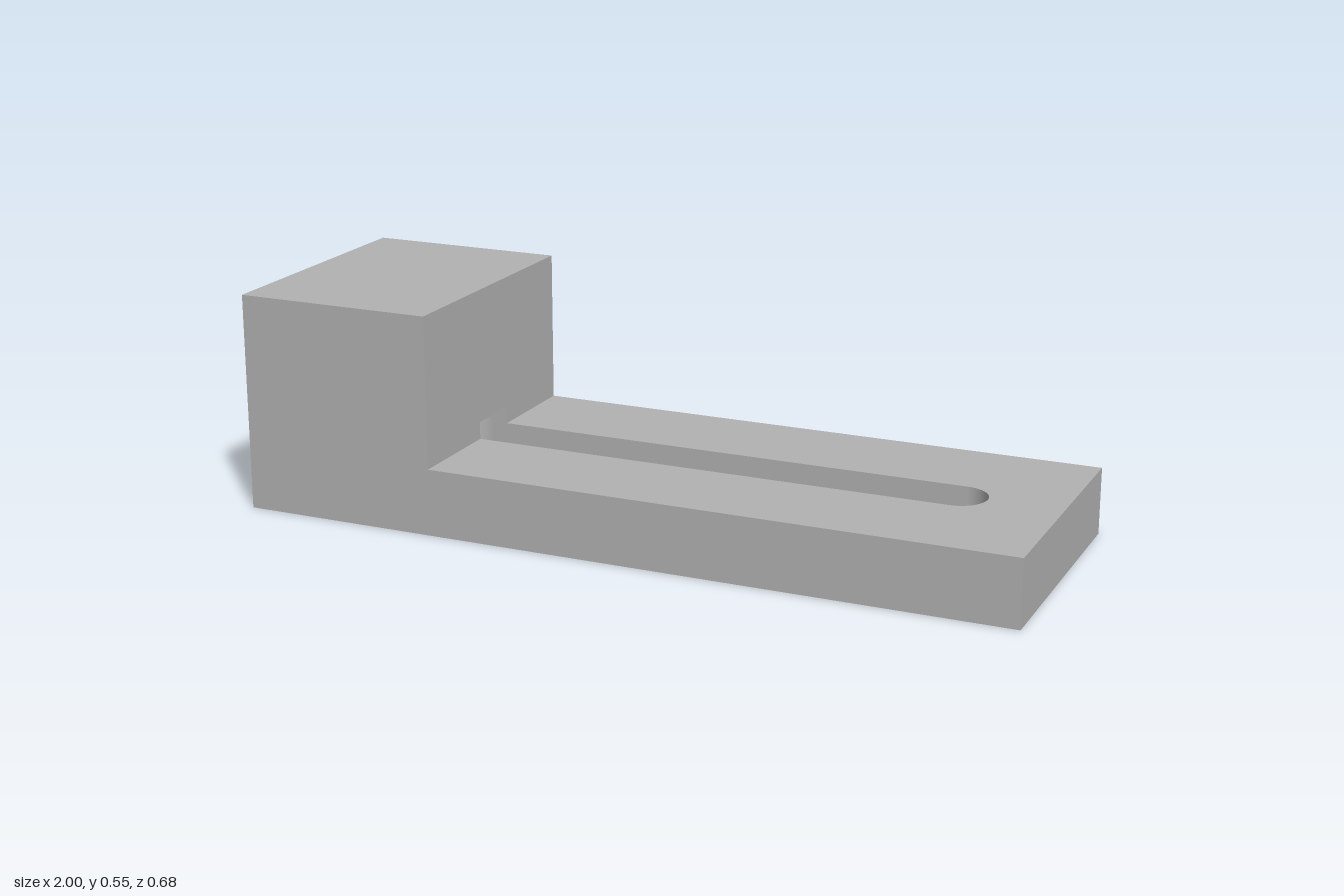
import * as THREE from 'three';

// Main dimensions
const L = 1, W = 0.34, H = 0.554, BASE = 0.17, STEP = -0.49;
// Slot: radius, ceiling height under the block, centres of the round ends
const R = 0.072, CEIL = 0.214, END = 0.743, START = -0.532;
const SEG = 24;

const poly = (pts) => new THREE.Shape(pts.map(([x, y]) => new THREE.Vector2(x, y)));
const rect = (x0, y0, x1, y1) => poly([[x0, y0], [x1, y0], [x1, y1], [x0, y1]]);

export function createModel() {
  const group = new THREE.Group();
  const gray = new THREE.MeshStandardMaterial({ color: 0xb2b2b2, side: THREE.DoubleSide });
  gray.name = 'gray';

  const add = (name, geo, x = 0, y = 0, z = 0) => {
    const mesh = new THREE.Mesh(geo, gray);
    mesh.name = name;
    mesh.position.set(x, y, z);
    group.add(mesh);
  };
  // Flat faces turned towards each axis
  const flat = (shape) => new THREE.ShapeGeometry(shape, SEG);
  const up = (shape) => flat(shape).rotateX(-Math.PI / 2);
  const down = (shape) => flat(shape).rotateX(Math.PI / 2);
  const right = (shape) => flat(shape).rotateY(Math.PI / 2);

  // Stepped side faces
  const profile = [[-L, 0], [L, 0], [L, BASE], [STEP, BASE], [STEP, H], [-L, H]];
  add('frontFace', flat(poly(profile)), 0, 0, W);
  add('backFace', flat(poly(profile.map(([x, y]) => [-x, y]))).rotateY(Math.PI), 0, 0, -W);

  // End faces
  add('baseEnd', right(rect(-W, 0, W, BASE)), L);
  add('blockEnd', flat(rect(-W, 0, W, H)).rotateY(-Math.PI / 2), -L);

  // Underside with the full slot opening
  const bottom = rect(-L, -W, L, W);
  const slot = new THREE.Path();
  slot.absarc(END, 0, R, -Math.PI / 2, Math.PI / 2, false);
  slot.absarc(START, 0, R, Math.PI / 2, Math.PI * 1.5, false);
  bottom.holes.push(slot);
  add('underside', down(bottom));

  // Base top, with the slot running in from the block
  const top = poly([[STEP, -W], [L, -W], [L, W], [STEP, W], [STEP, R]]);
  top.lineTo(END, R);
  top.absarc(END, 0, R, Math.PI / 2, -Math.PI / 2, true);
  top.lineTo(STEP, -R);
  add('baseTop', up(top), 0, BASE);

  // Block top and the step face with its notch
  add('blockTop', up(rect(-L, -W, STEP, W)), 0, H);
  add('stepFace', right(poly([
    [-W, BASE], [-R, BASE], [-R, CEIL], [R, CEIL], [R, BASE], [W, BASE], [W, H], [-W, H],
  ])), STEP);

  // Slot ceiling under the block
  const ceiling = poly([[STEP, -R], [STEP, R]]);
  ceiling.lineTo(START, R);
  ceiling.absarc(START, 0, R, Math.PI / 2, Math.PI * 1.5, false);
  add('slotCeiling', down(ceiling), 0, CEIL);

  // Slot walls: two straight sides and two half-round ends
  const wall = [[START, 0], [END, 0], [END, BASE], [STEP, BASE], [STEP, CEIL], [START, CEIL]];
  for (const s of [-1, 1]) add('slotSide', flat(poly(wall)), 0, 0, s * R);
  const halfRound = (h, start) => new THREE.CylinderGeometry(R, R, h, SEG, 1, true, start, Math.PI);
  add('slotOuterEnd', halfRound(BASE, 0), END, BASE / 2);
  add('slotInnerEnd', halfRound(CEIL, Math.PI), START, CEIL / 2);

  return group;
}
